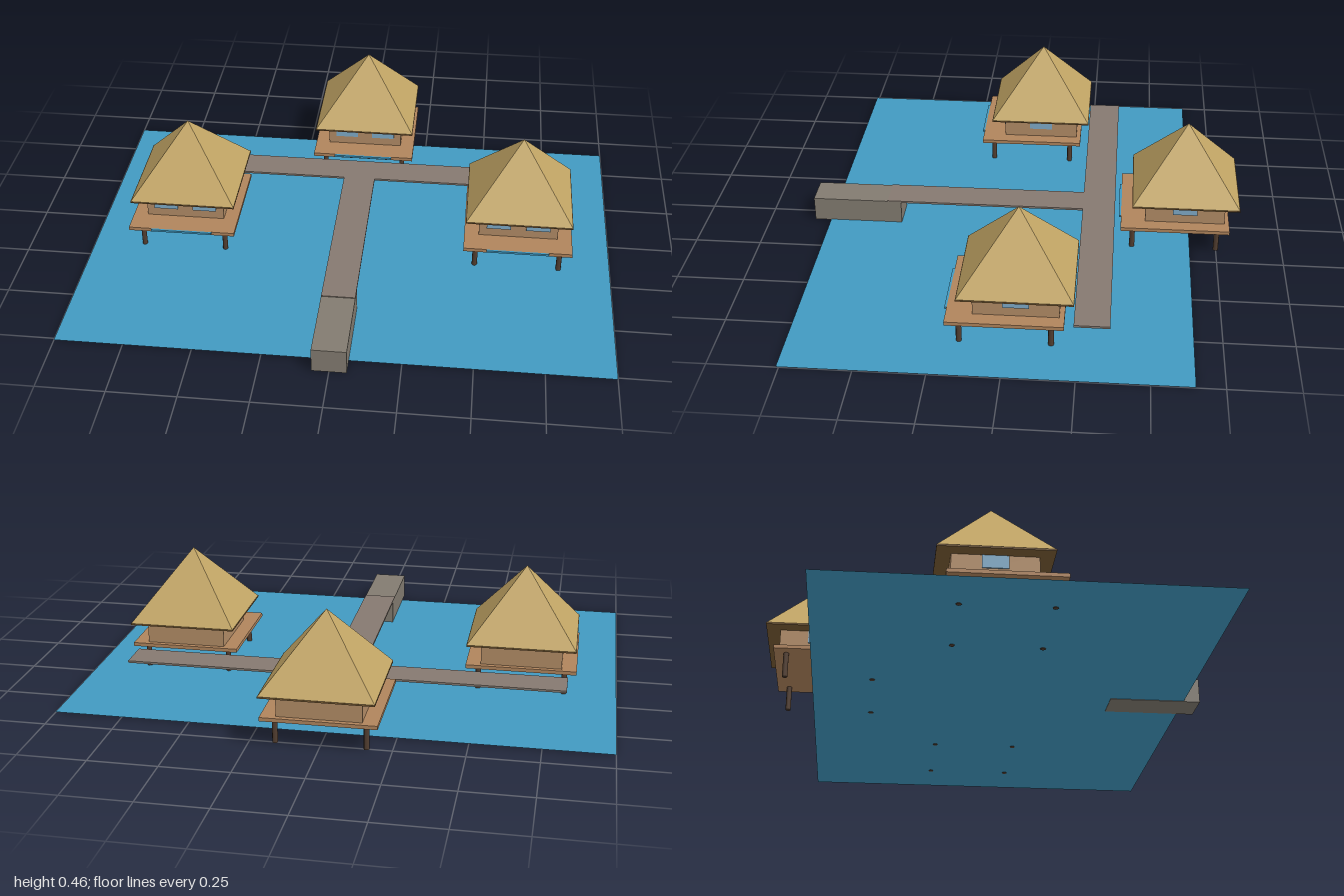
import * as THREE from 'three';

const mat = (name, color, extra = {}) => {
  const m = new THREE.MeshStandardMaterial({ color, ...extra });
  m.name = name;
  return m;
};

export function createModel() {
  const water = mat('water blue', 0x4199c1, { side: THREE.DoubleSide });
  const thatch = mat('thatch', 0xc2a565, { flatShading: true });
  const eaveBrown = mat('eave brown', 0x7a5c34);
  const wall = mat('wall wood', 0xb28c66);
  const deckWood = mat('deck wood', 0xb0845c);
  const postWood = mat('post wood', 0x523e30);
  const glass = mat('window glass', 0x7fabc8);
  const boards = mat('walkway boards', 0x857970);
  const stone = mat('pier stone', 0x827b70);

  const model = new THREE.Group();
  model.name = 'waterVillas';

  const add = (parent, name, geometry, material, x, y, z) => {
    const mesh = new THREE.Mesh(geometry, material);
    mesh.name = name;
    mesh.position.set(x, y, z);
    parent.add(mesh);
    return mesh;
  };
  const box = (parent, name, material, [w, h, d], [x, y, z]) =>
    add(parent, name, new THREE.BoxGeometry(w, h, d), material, x, y, z);

  // Lagoon surface
  const lagoon = new THREE.PlaneGeometry(2, 1.41).rotateX(-Math.PI / 2);
  add(model, 'lagoon', lagoon, water, 0, 0.002, 0.055);

  // Pier block and T-shaped walkway
  box(model, 'pierBlock', stone, [0.125, 0.095, 0.345], [0, 0.0475, 0.65]);
  box(model, 'mainWalkway', boards, [0.125, 0.008, 0.765], [0, 0.094, 0.1475]);
  box(model, 'crossWalkway', boards, [1.64, 0.008, 0.125], [0, 0.094, -0.2975]);

  // One stilt hut, origin at the centre of its deck
  function createHut(name, x, z) {
    const hut = new THREE.Group();
    hut.name = name;
    hut.position.set(x, 0, z);
    const back = -0.037; // house sits behind the deck centre

    // Deck, blue edge strip and posts
    box(hut, 'deck', deckWood, [0.41, 0.014, 0.41], [0, 0.102, 0]);
    box(hut, 'deckEdgeStrip', water, [0.235, 0.008, 0.009], [0, 0.105, 0.2085]);
    for (const px of [-0.16, 0.16]) {
      for (const pz of [-0.16, 0.16]) {
        add(hut, 'post', new THREE.CylinderGeometry(0.01, 0.01, 0.096, 8), postWood, px, 0.048, pz);
      }
    }

    // Walls and windows
    box(hut, 'walls', wall, [0.3, 0.092, 0.3], [0, 0.154, back]);
    for (const side of [-1, 1]) {
      box(hut, 'frontWindow', glass, [0.092, 0.048, 0.006], [side * 0.075, 0.168, back + 0.152]);
      box(hut, 'sideWindow', glass, [0.006, 0.048, 0.092], [side * 0.152, 0.168, back]);
    }

    // Pyramid roof on a thin eave board
    box(hut, 'eaveBoard', eaveBrown, [0.402, 0.006, 0.402], [0, 0.197, back]);
    const roof = new THREE.ConeGeometry(0.2 * Math.SQRT2, 0.256, 4).rotateY(Math.PI / 4);
    add(hut, 'thatchedRoof', roof, thatch, 0, 0.328, back);
    model.add(hut);
  }

  createHut('leftHut', 0.645, 0.002);
  createHut('rightHut', -0.645, 0.002);
  createHut('backHut', 0, -0.589);

  return model;
}
